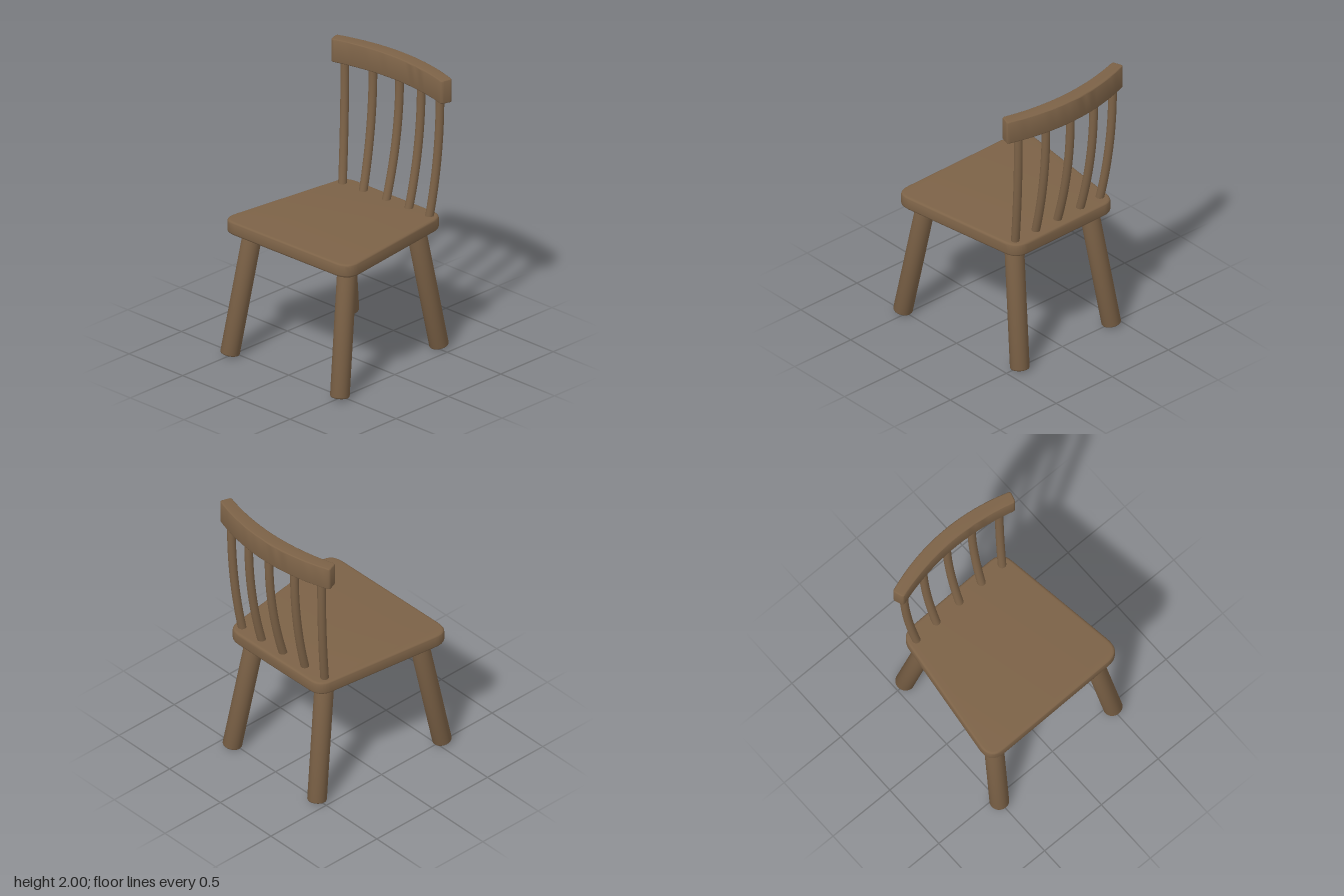
import * as THREE from 'three';
import { toCreasedNormals } from 'three/addons/utils/BufferGeometryUtils.js';

const UP = new THREE.Vector3(0, 1, 0);

// Plan outline from [x, z, cornerRadius] points, in shape space (x, -z)
function roundedOutline(points) {
  const shape = new THREE.Shape();
  const n = points.length;
  const p = points.map(([x, z]) => new THREE.Vector2(x, -z));
  points.forEach(([, , r], i) => {
    const toward = (q) => q.clone().sub(p[i]).setLength(r).add(p[i]);
    const a = r ? toward(p[(i + n - 1) % n]) : p[i];
    if (i === 0) shape.moveTo(a.x, a.y);
    else shape.lineTo(a.x, a.y);
    if (r) {
      const b = toward(p[(i + 1) % n]);
      shape.quadraticCurveTo(p[i].x, p[i].y, b.x, b.y);
    }
  });
  shape.closePath();
  return shape;
}

// Board with softened edges, standing between two heights
function board(points, y0, y1, bevel) {
  const geo = new THREE.ExtrudeGeometry(roundedOutline(points), {
    depth: y1 - y0 - 2 * bevel,
    bevelThickness: bevel,
    bevelSize: bevel,
    bevelOffset: -bevel,
    bevelSegments: 4,
    curveSegments: 8,
  });
  geo.rotateX(-Math.PI / 2).translate(0, y0 + bevel, 0);
  return toCreasedNormals(geo, 0.6);
}

// Centre line of the bowed back rail, seen from above
const railZ = (x) => -0.563 - 0.017 * x + 0.32 * x * x;

function railOutline() {
  const steps = 20, x0 = -0.527, x1 = 0.508;
  const front = [], back = [];
  for (let i = 0; i <= steps; i++) {
    const x = x0 + ((x1 - x0) * i) / steps;
    const slope = -0.017 + 0.64 * x;
    const half = 0.05 - 0.025 * x * x;
    const len = Math.hypot(1, slope);
    const nx = -slope / len, nz = 1 / len;
    const r = i === 0 || i === steps ? 0.022 : 0;
    front.push([x + nx * half, railZ(x) + nz * half, r]);
    back.unshift([x - nx * half, railZ(x) - nz * half, r]);
  }
  return [...front, ...back];
}

export function createModel() {
  const model = new THREE.Group();
  const wood = new THREE.MeshStandardMaterial({ color: 0x7c6247 });
  wood.name = 'brownWood';
  const add = (name, geometry) => {
    const mesh = new THREE.Mesh(geometry, wood);
    mesh.name = name;
    model.add(mesh);
    return mesh;
  };

  // Seat: tapers towards the back
  add('seat', board([
    [-0.592, 0.55, 0.13], [0.588, 0.532, 0.13],
    [0.437, -0.532, 0.1], [-0.455, -0.518, 0.1],
  ], 0.885, 0.98, 0.018));

  // Bowed top rail
  add('backRail', board(railOutline(), 1.83, 2, 0.01));

  // Splayed round legs: foot [x, z], top [x, z]
  const legs = {
    frontRightLeg: [[-0.505, 0.545], [-0.432, 0.388]],
    frontLeftLeg: [[0.507, 0.532], [0.428, 0.378]],
    backRightLeg: [[-0.425, -0.515], [-0.342, -0.368]],
    backLeftLeg: [[0.402, -0.525], [0.322, -0.376]],
  };
  for (const [name, [foot, top]] of Object.entries(legs)) {
    const a = new THREE.Vector3(foot[0], 0.01, foot[1]);
    const axis = new THREE.Vector3(top[0], 0.92, top[1]).sub(a);
    const h = axis.length(), r = 0.066;
    const profile = [[0, 0], [r - 0.012, 0], [r - 0.004, 0.004], [r, 0.012], [r, h], [0, h]]
      .map(([x, y]) => new THREE.Vector2(x, y));
    const geo = toCreasedNormals(new THREE.LatheGeometry(profile, 28).toNonIndexed(), 0.75);
    const leg = add(name, geo);
    leg.position.copy(a);
    leg.quaternion.setFromUnitVectors(UP, axis.normalize());
  }

  // Spindles: bottom x, bottom z, top x; they lean back and straighten upwards
  const spindles = [
    [-0.402, -0.425, -0.45], [-0.218, -0.435, -0.237], [-0.009, -0.442, -0.01],
    [0.193, -0.45, 0.2], [0.38, -0.455, 0.412],
  ];
  spindles.forEach(([bx, bz, tx], i) => {
    const tz = railZ(tx) - 0.006;
    const path = [];
    for (let k = 0; k <= 8; k++) {
      const t = -0.05 + (1.1 * k) / 8;
      const f = 1 - (1 - t) ** 2;
      path.push(new THREE.Vector3(bx + (tx - bx) * f, 0.98 + 0.85 * t, bz + (tz - bz) * f));
    }
    add(`spindle${i + 1}`, new THREE.TubeGeometry(new THREE.CatmullRomCurve3(path), 24, 0.029, 16));
  });

  return model;
}
